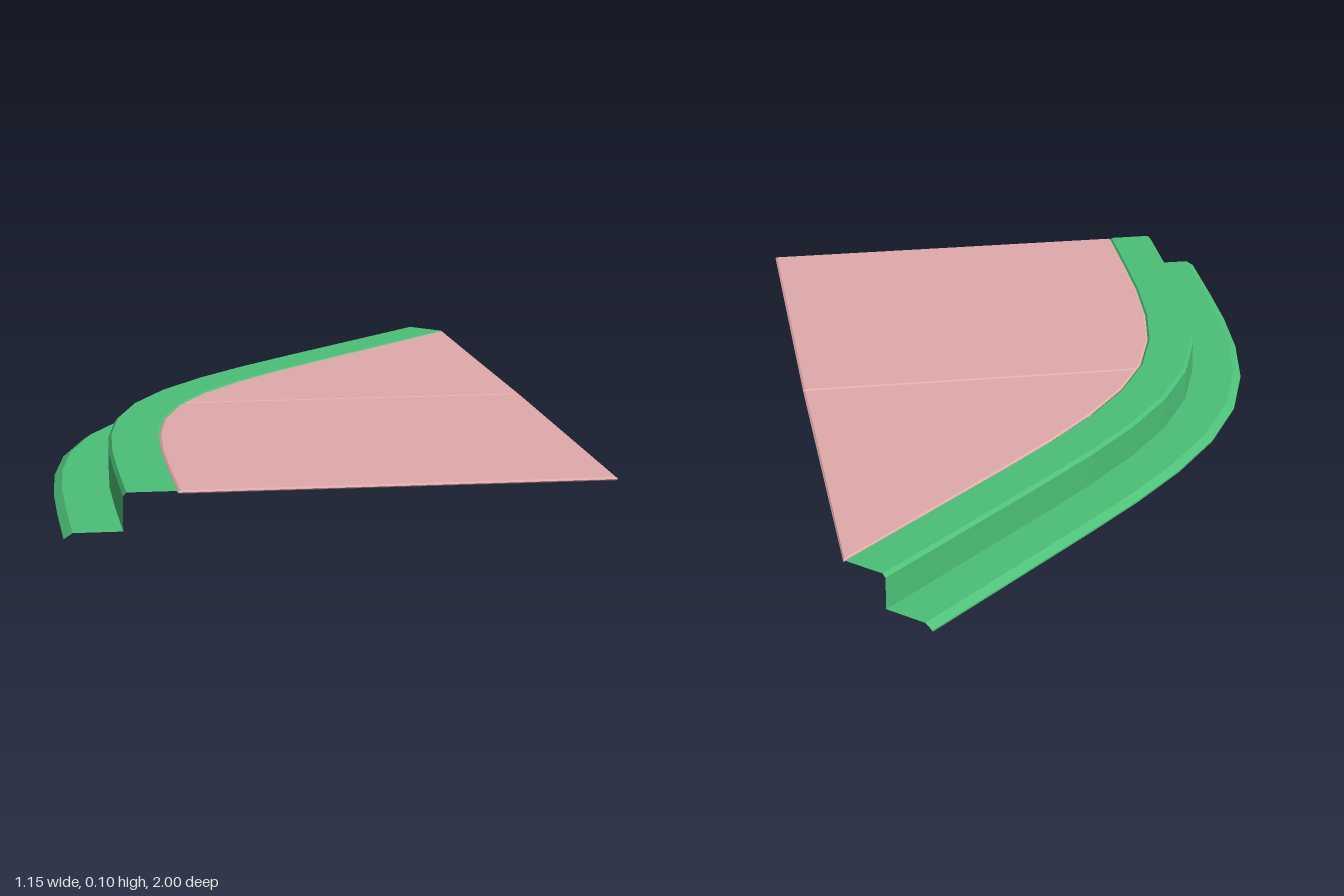
import * as THREE from 'three';

const green = new THREE.MeshStandardMaterial({ color: 0x4cc078, flatShading: true, side: THREE.DoubleSide });
const pink = new THREE.MeshStandardMaterial({ color: 0xe0aaaa, flatShading: true });

// Line of the kerb face on the ground (x, z): straight, eased 45 degree bend, straight.
const corner = new THREE.Vector2(-0.45, 0.026);
const bendLength = 0.75, handle = 0.155 * bendLength, s = Math.SQRT1_2;
const onFirst = (d) => new THREE.Vector2(corner.x, corner.y + d);
const onSecond = (d) => new THREE.Vector2(corner.x + d * s, corner.y - d * s);
const bend = new THREE.CubicBezierCurve(
  onFirst(bendLength), onFirst(handle), onSecond(handle), onSecond(bendLength));
const path = [new THREE.Vector2(corner.x, 1), ...bend.getSpacedPoints(8), new THREE.Vector2(0.488, -0.912)];

// Unit normals of the path, pointing to the pavement side.
const normals = path.map((p, i) => {
  const t = new THREE.Vector2();
  if (i > 0) t.add(p.clone().sub(path[i - 1]).normalize());
  if (i < path.length - 1) t.add(path[i + 1].clone().sub(p).normalize());
  t.normalize();
  return new THREE.Vector2(-t.y, t.x);
});
const offsetPath = (d) => path.map((p, i) => p.clone().addScaledVector(normals[i], d));

// Sweeps an open profile of [offset, height] points along the path.
function sweep(name, profile) {
  const rows = profile.map(([d, y]) => offsetPath(d).map((p) => [p.x, y, p.y]));
  const positions = [];
  for (let j = 0; j < rows.length - 1; j++) {
    for (let i = 0; i < path.length - 1; i++) {
      const a = rows[j][i], b = rows[j][i + 1], c = rows[j + 1][i], d = rows[j + 1][i + 1];
      positions.push(...a, ...c, ...b, ...b, ...c, ...d);
    }
  }
  const geometry = new THREE.BufferGeometry();
  geometry.setAttribute('position', new THREE.Float32BufferAttribute(positions, 3));
  geometry.computeVertexNormals();
  const mesh = new THREE.Mesh(geometry, green);
  mesh.name = name;
  return mesh;
}

// Thin bevelled slab between the kerb's inner edge and the straight far side.
function slab(name, zFront, zBack) {
  const edge = offsetPath(0.109);
  const outline = [];
  edge.forEach((p, i) => {
    if (p.y <= zFront && p.y >= zBack) outline.push(p);
    const q = edge[i + 1];
    if (!q) return;
    for (const z of [zFront, zBack]) {
      if (p.y > z && q.y < z) outline.push(p.clone().lerp(q, (p.y - z) / (p.y - q.y)));
    }
  });
  const first = outline[0], last = outline[outline.length - 1];
  const farX = 0.575;
  if (last.x < farX - 0.01) outline.push(new THREE.Vector2(farX, last.y));
  outline.push(new THREE.Vector2(farX, first.y));
  const shape = new THREE.Shape(outline.map((p) => new THREE.Vector2(p.x, -p.y)));
  const geometry = new THREE.ExtrudeGeometry(shape, {
    depth: 0.001, bevelEnabled: true, bevelSegments: 1,
    bevelThickness: 0.003, bevelSize: 0.005, bevelOffset: -0.005,
  });
  geometry.rotateX(-Math.PI / 2);
  const mesh = new THREE.Mesh(geometry, pink);
  mesh.position.y = 0.093;
  mesh.name = name;
  return mesh;
}

export function createModel() {
  const group = new THREE.Group();
  group.name = 'curvedKerbAndPavement';

  // Gutter strip with its sloped outer lip
  group.add(sweep('gutter', [[-0.125, 0], [-0.125, 0.004], [-0.107, 0.016], [-0.004, 0.016]]));
  // Upright kerb face
  group.add(sweep('kerbFace', [[-0.004, 0.016], [-0.004, 0.089]]));
  // Kerb top with bevelled edges
  group.add(sweep('kerbTop', [[-0.004, 0.089], [0.003, 0.097], [0.104, 0.097], [0.111, 0.09]]));

  // Two pavement slabs with a joint between them
  group.add(slab('frontSlab', 1, 0.078));
  group.add(slab('backSlab', 0.077, -1));
  return group;
}
